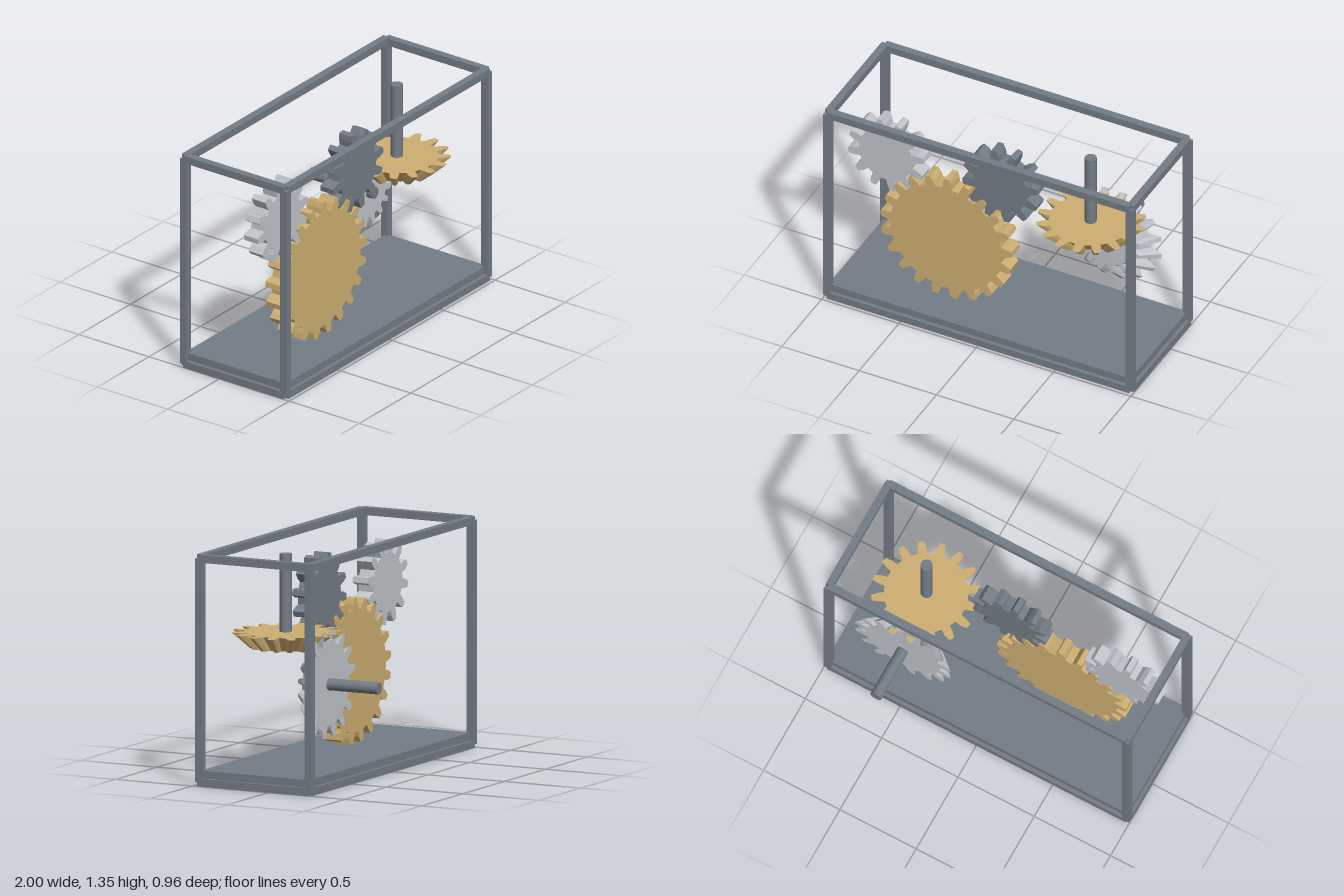
import * as THREE from 'three';

const mat = (color) => new THREE.MeshStandardMaterial({ color, flatShading: true });
const steel = mat(0x737c85), silver = mat(0xc0c4ca), brass = mat(0xcdae72);
const shaftMat = new THREE.MeshStandardMaterial({ color: 0x737c85 });

// Toothed outline; phase is the angle of one tooth
function gearShape(teeth, tipR, rootR, phase) {
  const pitch = (Math.PI * 2) / teeth;
  const midR = (tipR + rootR) / 2;
  const profile = [[rootR, -0.29], [midR, -0.24], [tipR, -0.13], [tipR, 0.13], [midR, 0.24], [rootR, 0.29]];
  const points = [];
  for (let i = 0; i < teeth; i++) {
    for (const [r, f] of profile) {
      const a = phase + (i + f) * pitch;
      points.push(new THREE.Vector2(r * Math.cos(a), r * Math.sin(a)));
    }
  }
  return new THREE.Shape(points);
}

// Gear along +z from z = 0; endScale below 1 tapers it into a bevel gear
function gearGeometry(teeth, tipR, rootR, phase, depth, endScale = 1) {
  const geo = new THREE.ExtrudeGeometry(gearShape(teeth, tipR, rootR, phase), { depth, bevelEnabled: false });
  const p = geo.attributes.position;
  for (let i = 0; i < p.count; i++) {
    const s = 1 + (endScale - 1) * (p.getZ(i) / depth);
    p.setXY(i, p.getX(i) * s, p.getY(i) * s);
  }
  geo.computeVertexNormals();
  return geo;
}

export function createModel() {
  const model = new THREE.Group();
  const add = (parent, name, geo, material, x, y, z) => {
    const mesh = new THREE.Mesh(geo, material);
    mesh.name = name;
    mesh.position.set(x, y, z);
    parent.add(mesh);
    return mesh;
  };

  // Box frame: bars run between corner centres, leaving notched corners
  const frame = new THREE.Group();
  frame.name = 'frame';
  model.add(frame);
  const t = 0.045, X = 0.9775;
  const ys = [0.0225, 1.3275], zs = [-0.2575, 0.4575];
  const height = ys[1] - ys[0], depth = zs[1] - zs[0];
  const midY = (ys[0] + ys[1]) / 2, midZ = (zs[0] + zs[1]) / 2;
  for (const y of ys) {
    for (const z of zs) add(frame, 'longBar', new THREE.BoxGeometry(2 * X, t, t), steel, 0, y, z);
    for (const x of [-X, X]) add(frame, 'crossBar', new THREE.BoxGeometry(t, t, depth), steel, x, y, midZ);
  }
  for (const x of [-X, X]) {
    for (const z of zs) add(frame, 'post', new THREE.BoxGeometry(t, height, t), steel, x, midY, z);
  }
  add(model, 'floorPlate', new THREE.BoxGeometry(2 * X, 0.045, depth), steel, 0, 0.0675, midZ);

  // Spur gears: name, material, teeth, tip and root radius, tooth angle, thickness, x, y
  const deg = Math.PI / 180;
  const spurs = [
    ['largeSpurGear', brass, 21, 0.425, 0.36, 89, 0.104, -0.325, 0.51],
    ['leftSpurGear', silver, 12, 0.247, 0.175, 100, 0.098, -0.715, 0.97],
    ['rightSpurGear', steel, 12, 0.247, 0.175, 100, 0.092, 0.022, 1.0],
  ];
  spurs[1][0] = 'outerPinion';
  spurs[2][0] = 'innerPinion';
  for (const [name, m, n, tip, root, angle, thick, x, y] of spurs) {
    add(model, name, gearGeometry(n, tip, root, angle * deg, thick), m, x, y, 0.197 - thick / 2);
  }

  // Bevel gear pair, wide faces pointing up and back
  const bevel = gearGeometry(16, 0.317, 0.243, Math.PI / 16, 0.09, 0.68);
  add(model, 'horizontalBevelGear', bevel, brass, 0.55, 0.865, 0.125).rotation.x = Math.PI / 2;
  add(model, 'verticalBevelGear', bevel, silver, 0.55, 0.58, -0.155);

  // Shafts through the bevel gears
  const shaft = (length) => new THREE.CylinderGeometry(0.035, 0.035, length, 24);
  add(model, 'verticalShaft', shaft(0.56), shaftMat, 0.55, 1.04, 0.13);
  add(model, 'horizontalShaft', shaft(0.455), shaftMat, 0.55, 0.58, -0.2525).rotation.x = Math.PI / 2;

  return model;
}
